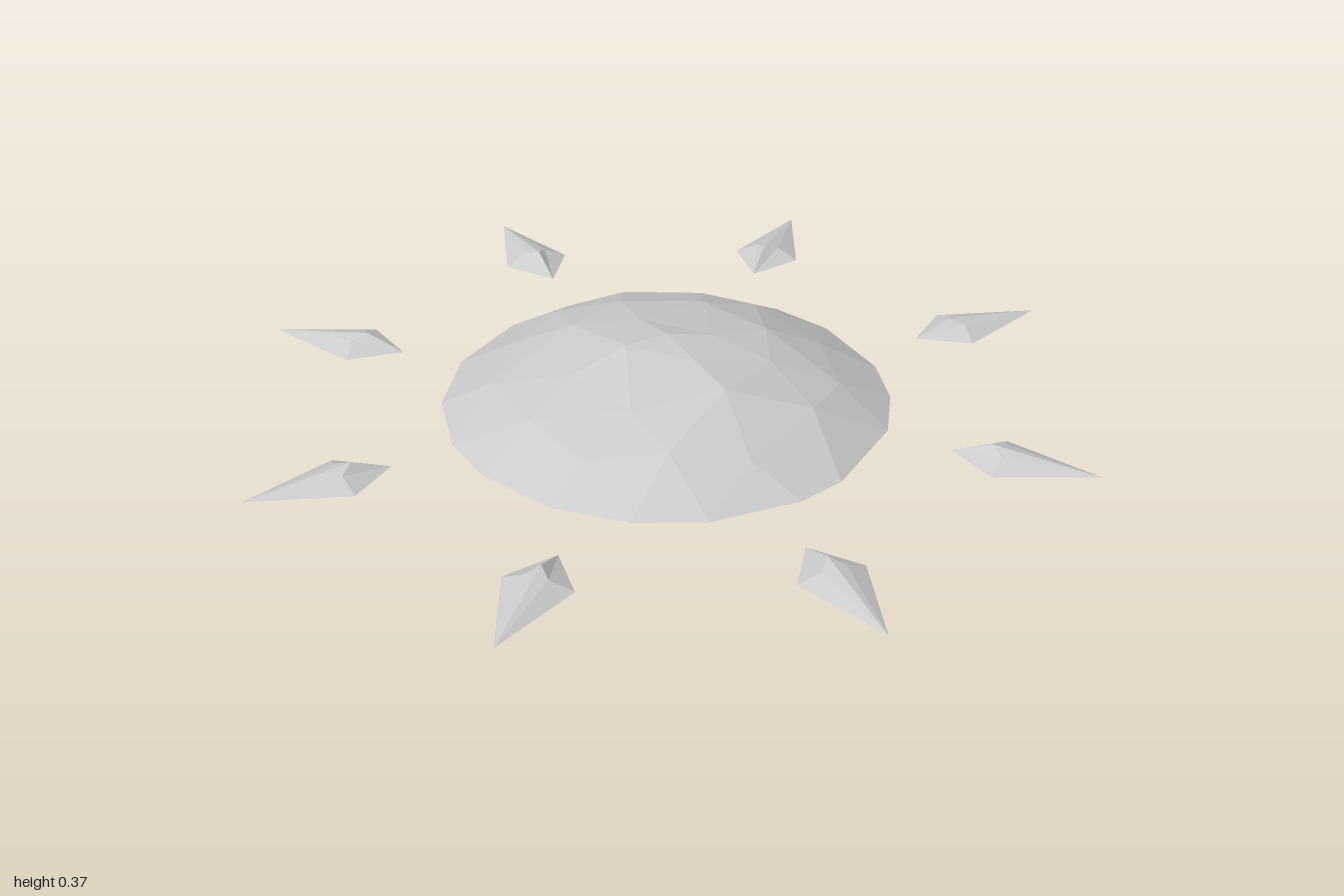
import * as THREE from 'three';
import { ConvexGeometry } from 'three/addons/geometries/ConvexGeometry.js';

const RIM_Y = 0.2, RIM_R = 0.515;

// Repeatable noise in -1..1
const noise = (a, b) => {
  const s = Math.sin(a * 12.9898 + b * 78.233) * 43758.5453;
  return (s - Math.floor(s)) * 2 - 1;
};

// Faceted lens: rings of scattered points on a shallow dome above and below the rim
function discGeometry() {
  const points = [];
  const ring = (radius, count, depth, seed) => {
    for (let i = 0; i < count; i++) {
      const a = ((i + 0.5 * (seed % 2) + 0.2 * noise(i, seed)) / count) * Math.PI * 2;
      const r = radius * (1 + (depth ? 0.06 * noise(seed, i + 5) : 0));
      const y = depth * (1 - (r / RIM_R) ** 2);
      points.push(new THREE.Vector3(r * Math.cos(a), RIM_Y + y, r * Math.sin(a)));
    }
  };
  ring(RIM_R, 18, 0, 0);
  [0.172, -0.193].forEach((depth, side) => {
    ring(0.39, 13, depth, 1 + side * 4);
    ring(0.25, 8, depth, 2 + side * 4);
    ring(0.11, 4, depth, 3 + side * 4);
    points.push(new THREE.Vector3(0, RIM_Y + depth, 0));
  });
  const geometry = new ConvexGeometry(points);

  // Small hammered dents, the same for every copy of a shared corner
  const p = geometry.attributes.position;
  for (let i = 0; i < p.count; i++) {
    const x = Math.round(p.getX(i) * 1000), z = Math.round(p.getZ(i) * 1000);
    const r = Math.hypot(x, z) / 1000;
    if (r > 0.05 && r < 0.48) {
      const amount = p.getY(i) > RIM_Y ? 0.009 : 0.004;
      p.setY(i, p.getY(i) + amount * noise(x, z));
    }
  }
  geometry.computeVertexNormals();
  return geometry;
}

// Kite-shaped ray along +x: a ridged cross-section drawn to a point at both ends
function rayGeometry() {
  const section = [
    [0.775, 0, -0.08], [0.785, 0.023, -0.028], [0.755, 0.035, 0],
    [0.785, 0.023, 0.028], [0.775, 0, 0.08],
  ];
  const outer = [1, 0, 0], inner = [0.665, 0, 0];
  const verts = [];
  for (let i = 0; i < section.length - 1; i++) {
    verts.push(...outer, ...section[i], ...section[i + 1]);
    verts.push(...inner, ...section[i + 1], ...section[i]);
  }
  const geometry = new THREE.BufferGeometry();
  geometry.setAttribute('position', new THREE.Float32BufferAttribute(verts, 3));
  geometry.computeVertexNormals();
  return geometry;
}

export function createModel() {
  const group = new THREE.Group();
  group.name = 'sun';

  const disc = new THREE.Mesh(
    discGeometry(),
    new THREE.MeshStandardMaterial({ color: 0xcccccc, flatShading: true })
  );
  disc.name = 'disc';
  group.add(disc);

  // Eight open-backed rays around the disc
  const rays = new THREE.Group();
  rays.name = 'rays';
  const shape = rayGeometry();
  const material = new THREE.MeshStandardMaterial({
    color: 0xcccccc, flatShading: true, side: THREE.DoubleSide,
  });
  for (let i = 0; i < 8; i++) {
    const ray = new THREE.Mesh(shape, material);
    ray.name = 'ray' + (i + 1);
    ray.position.y = RIM_Y;
    ray.rotation.y = (i * Math.PI) / 4;
    rays.add(ray);
  }
  group.add(rays);
  return group;
}
